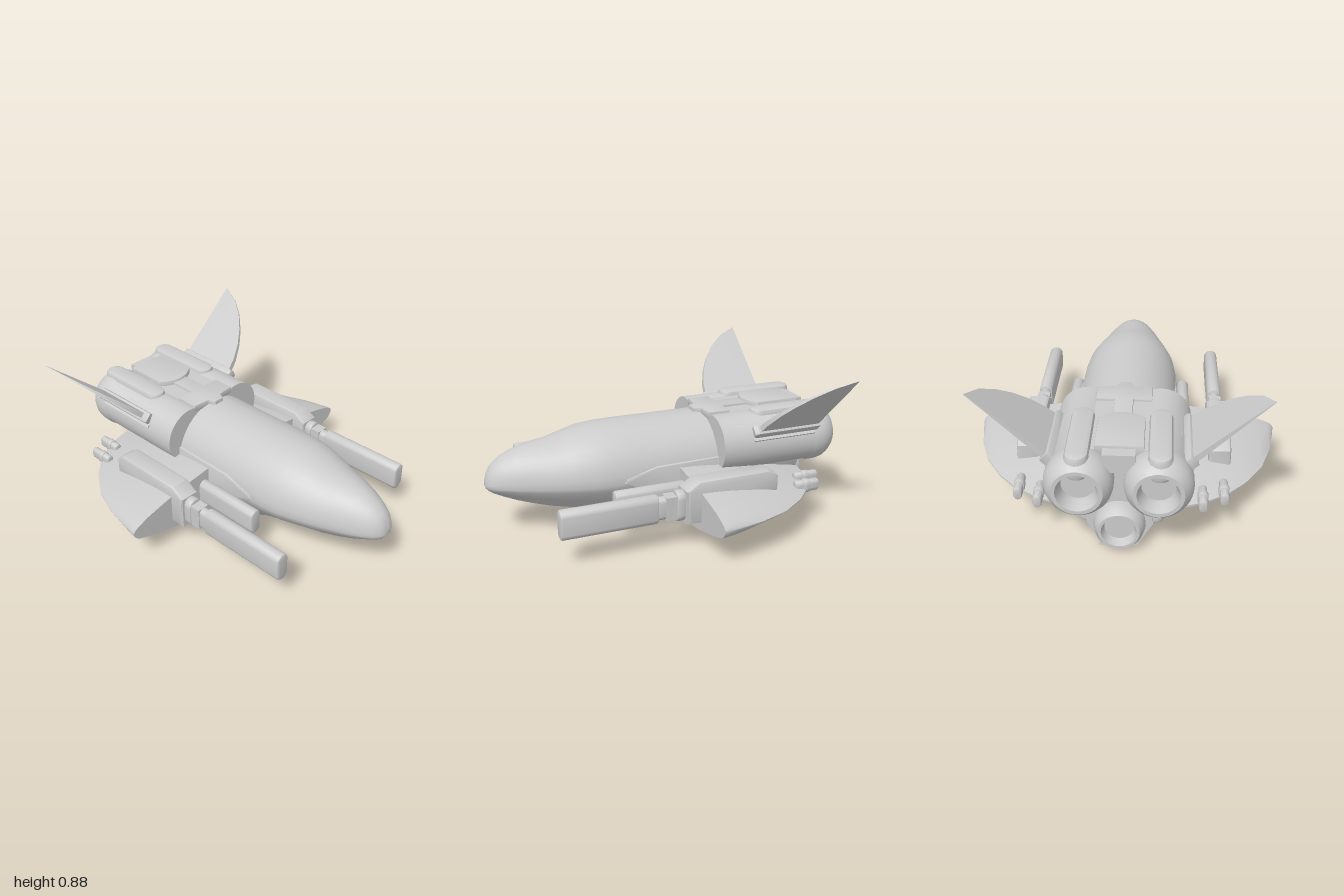
import * as THREE from 'three';
import { toCreasedNormals } from 'three/addons/utils/BufferGeometryUtils.js';

const grey = new THREE.MeshStandardMaterial({ color: 0xcccccc, side: THREE.DoubleSide });

function mesh(name, geo, crease = 0.6) {
  const m = new THREE.Mesh(toCreasedNormals(geo, crease), grey);
  m.name = name;
  return m;
}

// Skin over closed rings, with flat caps at both ends
function loft(rings) {
  const n = rings[0].length, pos = rings.flat(2), idx = [];
  for (let i = 0; i < rings.length - 1; i++)
    for (let j = 0; j < n; j++) {
      const a = i * n + j, b = i * n + (j + 1) % n;
      idx.push(a, b, a + n, b, b + n, a + n);
    }
  [0, rings.length - 1].forEach((r, end) => {
    const c = pos.length / 3;
    for (let k = 0; k < 3; k++) pos.push(rings[r].reduce((s, p) => s + p[k], 0) / n);
    for (let j = 0; j < n; j++) {
      const a = r * n + j, b = r * n + (j + 1) % n;
      idx.push(c, end ? a : b, end ? b : a);
    }
  });
  const g = new THREE.BufferGeometry();
  g.setAttribute('position', new THREE.Float32BufferAttribute(pos, 3));
  g.setIndex(idx);
  return g;
}

const polygon = pts => new THREE.Shape(pts.map(p => new THREE.Vector2(...p)));

function stadium(w, h) {
  const r = w / 2, s = new THREE.Shape();
  s.absarc(0, h / 2 - r, r, 0, Math.PI);
  s.absarc(0, r - h / 2, r, Math.PI, Math.PI * 2);
  return s;
}

// Extrusion with the bevel kept inside the given size
function extrude(shape, depth, bevel = 0.01) {
  const g = new THREE.ExtrudeGeometry(shape, {
    depth: depth - 2 * bevel, bevelEnabled: bevel > 0, bevelSize: bevel,
    bevelThickness: bevel, bevelOffset: -bevel, bevelSegments: 2, curveSegments: 10 });
  return g.translate(0, 0, bevel);
}
// Outline in (x, -z), raised from y0 to y1
const plan = (shape, y0, y1, bevel) =>
  extrude(shape, y1 - y0, bevel).rotateX(-Math.PI / 2).translate(0, y0, 0);
// Outline in (z, y), centred on x
const side = (pts, x, w, bevel) =>
  extrude(polygon(pts), w, bevel).rotateY(-Math.PI / 2).translate(x + w / 2, 0, 0);
const box = (x0, x1, y0, y1, z0, z1) => new THREE.BoxGeometry(x1 - x0, y1 - y0, z1 - z0)
  .translate((x0 + x1) / 2, (y0 + y1) / 2, (z0 + z1) / 2);
const bar = (w, h, x, y, z0, z1, bevel) =>
  extrude(stadium(w, h), z1 - z0, bevel).translate(x, y, z0);

// Turned body along -z from [radius, z] pairs
function engine(pts, x, y) {
  const g = new THREE.LatheGeometry(pts.map(([r, z]) => new THREE.Vector2(r, -z)), 32);
  return g.rotateX(-Math.PI / 2).translate(x, y, 0);
}

// Fuselage section: domed top, straight flanks down to a flat keel
function hullRing([z, w, top, chine, bottom, keel]) {
  const ring = [];
  for (let i = 0; i <= 20; i++) {
    const a = Math.PI * i / 20;
    ring.push([w * Math.cos(a), chine + (top - chine) * Math.sin(a), z]);
  }
  const flank = [[1, 0.15], [0.6, 0.55], [0, 1]].map(([t, d]) =>
    [keel + (w * 0.97 - keel) * t, chine + (bottom - chine) * d, z]);
  ring.push(...flank.map(([x, y]) => [-x, y, z]), ...flank.reverse());
  return ring;
}

// Wing section at x: blunt front, tapering to a thin trailing edge
function wingRing([x, top, bottom, trail]) {
  const front = -0.03, mid = 0.215, low = [], high = [];
  for (let i = 0; i <= 8; i++) {
    const t = i / 8, k = 1 - 0.96 * t ** 1.7, z = front + (trail - front) * t;
    low.push([x, mid + (bottom - mid) * k, z]);
    high.unshift([x, mid + (top - mid) * k, z]);
  }
  return [...low, ...high];
}

function buildSide() {
  const g = new THREE.Group();
  g.add(mesh('wing', loft([
    [0.1, 0.36, 0.04, -0.84], [0.3, 0.35, 0.055, -0.81], [0.42, 0.337, 0.07, -0.77],
    [0.55, 0.317, 0.09, -0.69], [0.65, 0.295, 0.115, -0.59], [0.75, 0.272, 0.142, -0.44],
    [0.81, 0.25, 0.163, -0.27], [0.837, 0.236, 0.183, -0.13], [0.85, 0.222, 0.205, -0.05],
  ].map(wingRing))));

  // Upper engine with rounded nozzle and recessed throat
  g.add(mesh('upperEngine', engine([[0, -0.27], [0.165, -0.27], [0.165, -0.84], [0.172, -0.86],
    [0.172, -0.91], [0.165, -0.945], [0.148, -0.975], [0.125, -1], [0.105, -1],
    [0.085, -0.94], [0.085, -0.92], [0, -0.92]], 0.195, 0.43)));
  g.add(mesh('engineFairing',
    plan(stadium(0.12, 0.48), 0.48, 0.615, 0.025).translate(0.2, 0, -0.74)));
  g.add(mesh('engineSidePod', bar(0.06, 0.14, 0.285, 0.49, -0.68, -0.36, 0.01)));

  // Canted tail fin, drawn upright in (z, y) and thinned toward its tip
  const fin = side([[-0.855, 0], [-0.48, 0], [-0.495, 0.1], [-0.53, 0.2], [-0.58, 0.29],
    [-0.65, 0.38], [-0.74, 0.46], [-0.855, 0.515]], 0, 0.035, 0);
  const p = fin.attributes.position;
  for (let i = 0; i < p.count; i++) p.setX(i, p.getX(i) * (1 - 0.9 * p.getY(i) / 0.515));
  const tail = new THREE.Group();
  tail.name = 'tailFin';
  tail.add(mesh('finBlade', fin, 0.3),
    mesh('finMount', side([[-0.87, -0.05], [-0.46, -0.05], [-0.45, 0.015], [-0.47, 0.03], [-0.87, 0.03]], 0, 0.065)),
    mesh('finFoot', box(-0.05, 0.05, -0.06, -0.02, -0.85, -0.45)));
  tail.position.set(0.345, 0.525, 0);
  tail.rotation.z = -0.82;
  g.add(tail);

  // Outer cannon: ridge on the wing, stepped neck and long barrel
  const cannon = new THREE.Group();
  cannon.name = 'outerCannon';
  cannon.add(
    mesh('cannonHousing', side([[-0.06, 0.14], [0.04, 0.14], [0.05, 0.33], [-0.02, 0.378],
      [-0.44, 0.378], [-0.49, 0.345], [-0.49, 0.25]], 0.515, 0.12, 0.015)),
    mesh('cannonFrame', box(0.46, 0.57, 0.145, 0.33, -0.04, 0.055)),
    mesh('cannonCollar', bar(0.09, 0.175, 0.515, 0.24, 0.05, 0.1)),
    mesh('cannonNeck', bar(0.06, 0.13, 0.515, 0.24, 0.08, 0.23)),
    mesh('cannonRing', box(0.479, 0.551, 0.175, 0.305, 0.09, 0.16)),
    mesh('cannonBarrel', bar(0.08, 0.165, 0.515, 0.24, 0.2, 0.73, 0.012)));
  g.add(cannon);

  g.add(mesh('innerCannon', bar(0.07, 0.15, 0.327, 0.215, -0.1, 0.375, 0.01)));
  g.add(mesh('shoulderFairing', side([[-0.3, 0.1], [0.03, 0.18], [0.3, 0.3], [0.28, 0.33],
    [0.1, 0.375], [-0.3, 0.38]], 0.265, 0.045)));

  // Small pods on the trailing edge
  for (const [x, z] of [[0.42, -0.75], [0.53, -0.69]]) {
    g.add(mesh('trailingPod', bar(0.045, 0.07, x, 0.235, z - 0.08, z + 0.07)));
    g.add(mesh('podBand', bar(0.055, 0.08, x, 0.235, z - 0.02, z + 0.02, 0.005)));
  }
  // Belly vents, each a base with blades
  for (const z of [-0.16, -0.325]) {
    g.add(mesh('ventBase', box(0.12, 0.3, 0.03, 0.09, z - 0.055, z + 0.055)));
    for (const dz of [-0.035, 0, 0.035])
      g.add(mesh('ventBlade', box(0.12, 0.26, 0.015, 0.05, z + dz - 0.008, z + dz + 0.008)));
  }
  g.add(mesh('bellyPod', plan(stadium(0.07, 0.22), 0.035, 0.1, 0.015).translate(0.19, 0, -0.61)));
  return g;
}

export function createModel() {
  const model = new THREE.Group();

  // [z, half width, top, chine, bottom, keel half width], tail to nose
  model.add(mesh('fuselage', loft([
    [-0.82, 0.24, 0.56, 0.3, 0.01, 0.1], [-0.3, 0.285, 0.58, 0.3, 0.01, 0.1],
    [0, 0.285, 0.58, 0.3, 0.01, 0.1], [0.19, 0.285, 0.58, 0.3, 0.02, 0.1],
    [0.25, 0.285, 0.58, 0.3, 0.055, 0.105], [0.35, 0.283, 0.578, 0.298, 0.085, 0.105],
    [0.45, 0.273, 0.57, 0.297, 0.108, 0.1], [0.55, 0.248, 0.545, 0.297, 0.13, 0.095],
    [0.65, 0.218, 0.517, 0.297, 0.152, 0.09], [0.75, 0.183, 0.505, 0.297, 0.18, 0.08],
    [0.84, 0.148, 0.482, 0.297, 0.208, 0.065], [0.91, 0.115, 0.45, 0.297, 0.235, 0.05],
    [0.96, 0.085, 0.412, 0.297, 0.257, 0.04], [0.985, 0.06, 0.375, 0.297, 0.272, 0.03],
    [1, 0.03, 0.325, 0.297, 0.285, 0.015],
  ].map(hullRing))));
  model.add(mesh('keel', plan(polygon([[-0.1, 0.86], [0.1, 0.86], [0.1, -0.18], [-0.1, -0.18]]), 0, 0.06, 0)));

  // Rear block between the engines and its dorsal plating
  model.add(mesh('engineBlock', box(-0.2, 0.2, 0.28, 0.587, -0.85, -0.28)));
  model.add(mesh('frontPlate', plan(polygon([[-0.15, 0.27], [-0.05, 0.26], [-0.03, 0.22], [0.03, 0.22],
    [0.05, 0.26], [0.15, 0.27], [0.15, 0.4], [0.05, 0.4], [0.05, 0.57], [-0.05, 0.57], [-0.05, 0.4],
    [-0.15, 0.4]]), 0.56, 0.603, 0.006)));
  const hatch = new THREE.Shape();
  hatch.moveTo(-0.12, 0.86).lineTo(0.12, 0.86).lineTo(0.12, 0.6);
  hatch.quadraticCurveTo(0, 0.5, -0.12, 0.6);
  model.add(mesh('dorsalHatch', plan(hatch, 0.55, 0.617, 0.006)));
  model.add(mesh('rearBlock', box(-0.08, 0.08, 0.5, 0.6, -0.92, -0.85)));

  // Lower engine in a faceted cowl
  model.add(mesh('lowerEngine', engine([[0, -0.7], [0.125, -0.7], [0.132, -0.86], [0.122, -0.9],
    [0.105, -0.925], [0.09, -0.925], [0.075, -0.88], [0, -0.88]], 0, 0.14)));
  model.add(mesh('lowerCowl', extrude(polygon([[-0.1, 0.005], [0.1, 0.005], [0.17, 0.13],
    [0.15, 0.3], [-0.15, 0.3], [-0.17, 0.13]]), 0.3, 0).translate(0, 0, -0.84)));

  for (const s of [1, -1]) {
    const half = buildSide();
    half.name = s > 0 ? 'leftSide' : 'rightSide';
    half.scale.x = s;
    model.add(half);
  }
  return model;
}
